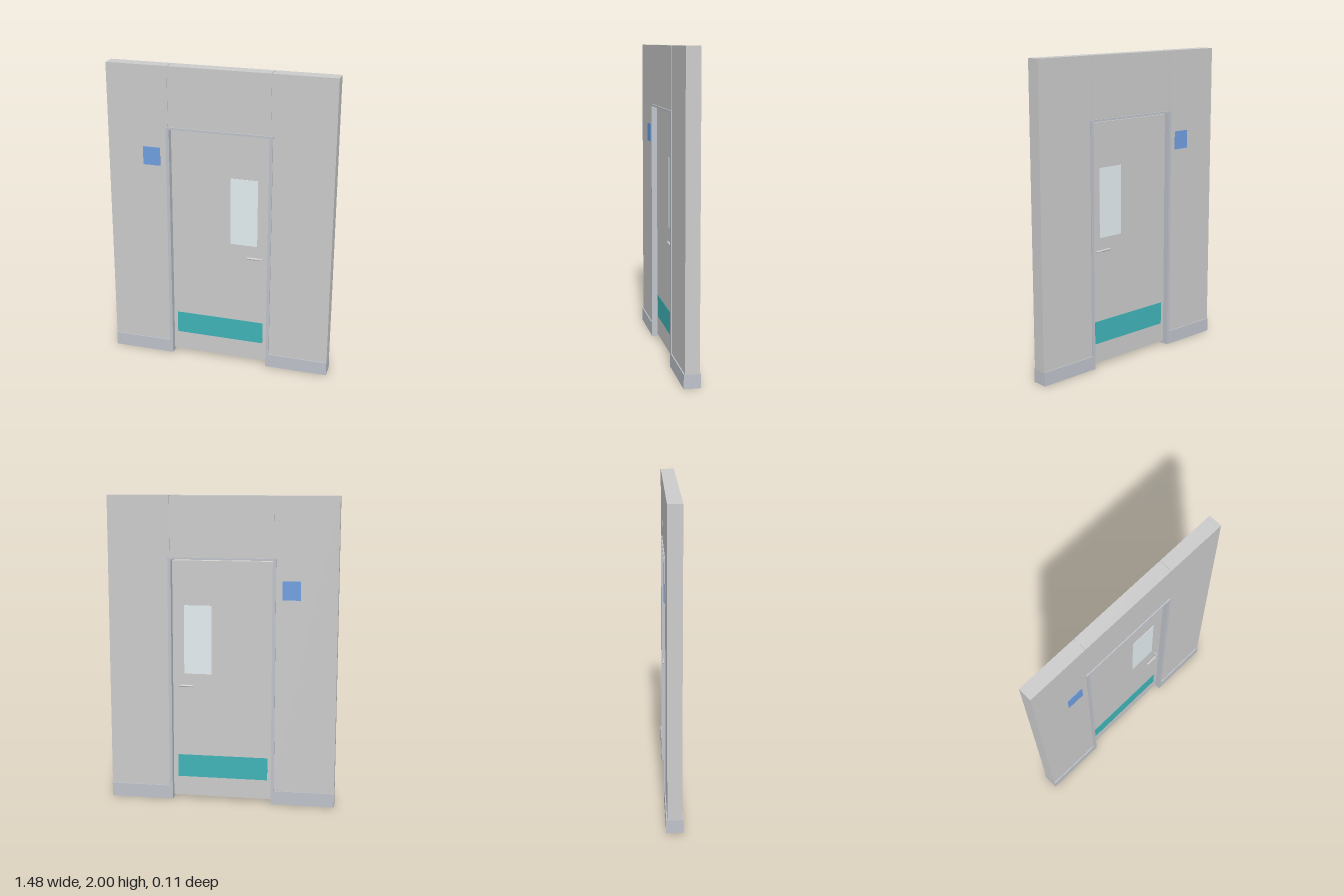
import * as THREE from 'three';

const mat = (color) => new THREE.MeshStandardMaterial({ color });

export function createModel() {
  const root = new THREE.Group();
  const grey = mat(0xcccccc);
  const trim = mat(0xbfc3ca);
  const glass = mat(0xe4eef2);
  const teal = mat(0x40b4b8);
  const blue = mat(0x6f9fe0);

  // Box given by its x and y limits and its z limits
  const slab = (name, x0, x1, y0, y1, z0, z1, material, parent = root) => {
    const mesh = new THREE.Mesh(new THREE.BoxGeometry(x1 - x0, y1 - y0, z1 - z0), material);
    mesh.position.set((x0 + x1) / 2, (y0 + y1) / 2, (z0 + z1) / 2);
    mesh.name = name;
    parent.add(mesh);
    return mesh;
  };

  const wallZ = 0.045, frameZ = 0.053, doorZ = 0.016;

  // Wall panel above the door, with narrow joints at its sides
  slab('upperWallPanel', -0.332, 0.332, 1.605, 2, -wallZ, wallZ, grey);

  // Side wall panels, skirting and jambs, mirrored about x = 0
  for (const s of [-1, 1]) {
    const side = s > 0 ? 'left' : 'right';
    const pair = (name, a, b, y0, y1, z, material) =>
      slab(side + name, Math.min(s * a, s * b), Math.max(s * a, s * b), y0, y1, -z, z, material);
    pair('WallPanel', 0.336, 0.74, 0.085, 2, wallZ, grey);
    pair('Skirting', 0.346, 0.74, 0, 0.09, frameZ - 0.001, trim);
    pair('Jamb', 0.327, 0.348, 0, 1.61, frameZ, trim);
    pair('PanelJoint', 0.33, 0.338, 1.6, 1.995, wallZ - 0.004, grey);
  }
  slab('frameHead', -0.327, 0.327, 1.597, 1.61, -frameZ, frameZ, trim);

  // Door leaf, recessed inside the frame
  const door = new THREE.Group();
  door.name = 'door';
  root.add(door);
  slab('doorLeaf', -0.325, 0.325, 0.02, 1.588, -doorZ, doorZ, grey, door);
  slab('windowPane', 0.07, 0.25, 0.85, 1.3, -doorZ - 0.002, doorZ + 0.002, glass, door);
  slab('kickPlate', -0.3, 0.295, 0.15, 0.3, -doorZ - 0.002, doorZ + 0.002, teal, door);

  // Both faces: lever handle on the door and sign plate on the wall
  for (const s of [-1, 1]) {
    const face = s > 0 ? 'front' : 'back';
    const handle = new THREE.Group();
    handle.name = face + 'Handle';
    const lever = new THREE.Mesh(new THREE.CapsuleGeometry(0.0075, 0.07, 6, 12), grey);
    lever.name = 'lever';
    lever.rotation.z = Math.PI / 2;
    lever.position.set(0.228, 0.773, s * 0.042);
    const spindle = new THREE.Mesh(
      new THREE.TubeGeometry(
        new THREE.CatmullRomCurve3([
          new THREE.Vector3(0.284, 0.77, s * (doorZ - 0.002)),
          new THREE.Vector3(0.283, 0.77, s * 0.034),
          new THREE.Vector3(0.262, 0.773, s * 0.042),
        ]), 10, 0.005, 10),
      grey);
    spindle.name = 'spindle';
    handle.add(lever, spindle);
    door.add(handle);

    const za = s * (wallZ - 0.003), zb = s * (wallZ + 0.004);
    slab(face + 'SignPlate', -0.505, -0.39, 1.35, 1.47, Math.min(za, zb), Math.max(za, zb), blue);
  }

  return root;
}
